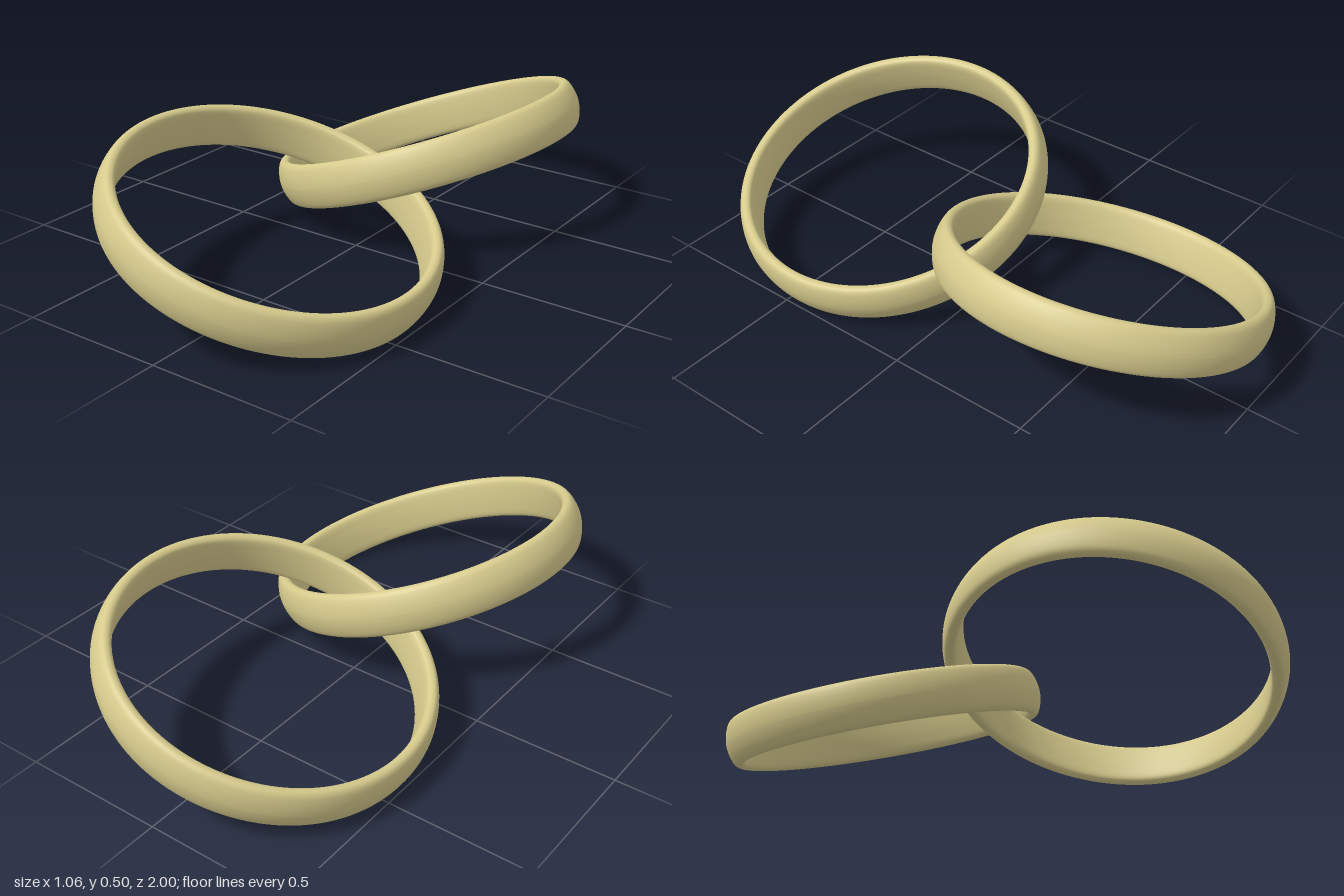
import * as THREE from 'three';

// Rounded band cross-section: x = radius, y = height along the ring axis
function bandProfile() {
  const upper = [
    [0.553, 0], [0.5495, 0.03], [0.542, 0.055], [0.534, 0.07], [0.524, 0.0775],
    [0.512, 0.0775], [0.503, 0.072], [0.498, 0.06], [0.495, 0.03], [0.494, 0],
  ];
  const lower = upper.slice(1, -1).reverse().map(([r, y]) => [r, -y]);
  const points = [...upper, ...lower].map(([r, y]) => new THREE.Vector3(r, y, 0));
  const curve = new THREE.CatmullRomCurve3(points, true);
  return curve.getPoints(72).map((p) => new THREE.Vector2(p.x, p.y));
}

export function createModel() {
  const model = new THREE.Group();
  model.name = 'linkedRings';
  const material = new THREE.MeshStandardMaterial({ color: 0xd6ca8c });
  const geometry = new THREE.LatheGeometry(bandProfile(), 128);

  // Two equal bands, tilted opposite ways and linked through each other
  for (const [name, side] of [['frontRing', 1], ['backRing', -1]]) {
    const ring = new THREE.Mesh(geometry, material);
    ring.name = name;
    ring.position.set(0, 0.256, side * 0.447);
    ring.rotation.z = -side * THREE.MathUtils.degToRad(20);
    model.add(ring);
  }
  return model;
}
